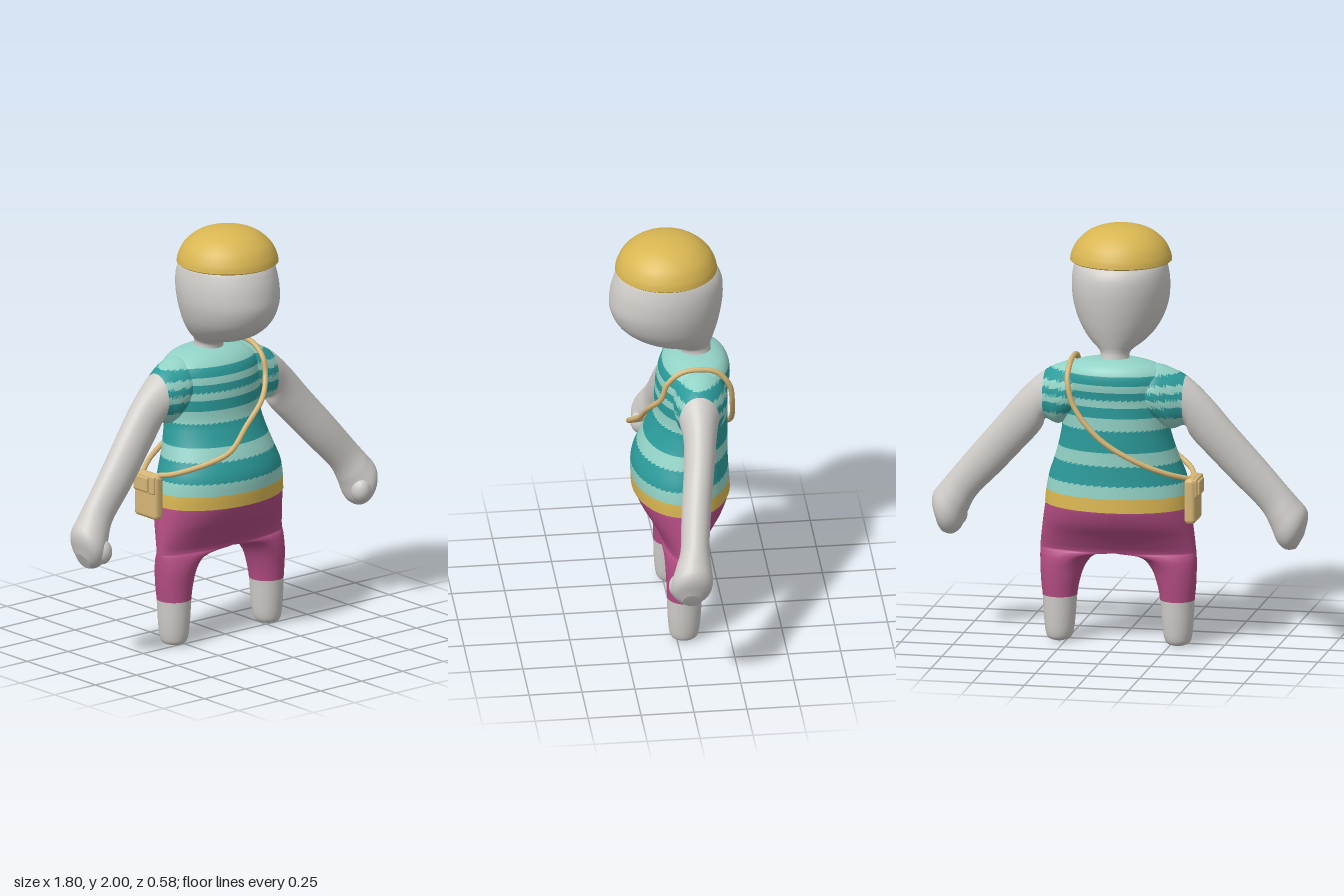
import * as THREE from 'three';
import { RoundedBoxGeometry } from 'three/addons/geometries/RoundedBoxGeometry.js';

const mat = (name, color) => {
  const m = new THREE.MeshStandardMaterial({ color });
  m.name = name;
  return m;
};

// Catmull-Rom interpolation of the key rows of a loft, column by column
function refine(rows, sub) {
  const out = [];
  for (let i = 0; i < rows.length - 1; i++) {
    const a = rows[Math.max(i - 1, 0)], b = rows[i], c = rows[i + 1], d = rows[Math.min(i + 2, rows.length - 1)];
    for (let s = 0; s < sub; s++) {
      const t = s / sub;
      out.push(b.map((v, k) => {
        const quad = 2 * a[k] - 5 * v + 4 * c[k] - d[k];
        const cubic = 3 * (v - c[k]) + d[k] - a[k];
        return v + 0.5 * t * (c[k] - a[k] + t * (quad + t * cubic));
      }));
    }
  }
  out.push(rows[rows.length - 1]);
  return out;
}

// Skin through closed rings; point(row, cos, sin) gives one corner.
// zone(centre) picks the material slot of each triangle.
function loft(keyRows, point, { sub = 8, n = 40, zone = () => 0 } = {}) {
  const rows = refine(keyRows, sub);
  const pts = [];
  for (const r of rows) {
    for (let j = 0; j < n; j++) {
      const a = (j / n) * Math.PI * 2;
      pts.push(new THREE.Vector3(...point(r, Math.cos(a), Math.sin(a))));
    }
  }
  let tris = [];
  for (let i = 0; i < rows.length - 1; i++) {
    for (let j = 0; j < n; j++) {
      const k = (j + 1) % n;
      const a = i * n + j, b = i * n + k, c = a + n, d = b + n;
      tris.push([a, c, b], [b, c, d]);
    }
  }
  // Close the last ring
  const last = (rows.length - 1) * n;
  const mid = new THREE.Vector3();
  for (let j = 0; j < n; j++) mid.addScaledVector(pts[last + j], 1 / n);
  const m = pts.push(mid) - 1;
  for (let j = 0; j < n; j++) tris.push([m, last + (j + 1) % n, last + j]);

  // Drop the hidden wall on the middle plane, then turn all faces outward
  tris = tris.filter(t => t.some(i => Math.abs(pts[i].x) > 1e-4));
  const cross = new THREE.Vector3();
  let volume = 0;
  for (const [a, b, c] of tris) volume += pts[a].dot(cross.crossVectors(pts[b], pts[c]));
  if (volume < 0) tris = tris.map(([a, b, c]) => [a, c, b]);

  // Sort triangles into one group per material
  const bins = [];
  for (const t of tris) {
    const c = new THREE.Vector3();
    t.forEach(i => c.addScaledVector(pts[i], 1 / 3));
    (bins[zone(c)] ??= []).push(...t);
  }
  const geo = new THREE.BufferGeometry().setFromPoints(pts);
  const index = [];
  bins.forEach((bin, slot) => {
    geo.addGroup(index.length, bin.length, slot);
    for (const i of bin) index.push(i);
  });
  geo.setIndex(index);
  geo.computeVertexNormals();
  return geo;
}

// Ring level with the ground: [y, halfWidth, zBack, zFront]
const levelRing = ([y, w, zb, zf], c, s) => [w * c, y, (zb + zf) / 2 + (zf - zb) / 2 * s];

const DARK_STRIPES = [[0.80, 0.895], [0.96, 1.065], [1.13, 1.18], [1.215, 1.25], [1.285, 1.33]];
const stripe = y => (DARK_STRIPES.some(([a, b]) => y > a && y < b) ? 1 : 0);

export function createModel() {
  const model = new THREE.Group();
  model.name = 'figure';
  const skin = mat('pale grey skin', 0xcfccc8);
  const lightTeal = mat('light teal', 0x92d2c6);
  const darkTeal = mat('dark teal', 0x2b9c9b);
  const gold = mat('gold', 0xd9b652);
  const plum = mat('plum', 0xb34c83);
  const tan = mat('tan leather', 0xd6b677);

  const add = (name, geo, material, x = 0, y = 0, z = 0) => {
    const mesh = new THREE.Mesh(geo, material);
    mesh.name = name;
    mesh.position.set(x, y, z);
    model.add(mesh);
    return mesh;
  };

  // Head with neck
  add('head', loft([
    [1.36, 0.075, -0.2, -0.05], [1.41, 0.068, -0.192, -0.045], [1.435, 0.085, -0.193, 0.0],
    [1.46, 0.122, -0.2, 0.1], [1.5, 0.162, -0.212, 0.185], [1.56, 0.198, -0.228, 0.25],
    [1.64, 0.223, -0.243, 0.284], [1.72, 0.23, -0.25, 0.281], [1.79, 0.223, -0.242, 0.263],
    [1.84, 0.205, -0.208, 0.235], [1.89, 0.15, -0.14, 0.17], [1.91, 0.06, -0.06, 0.08],
  ], levelRing), skin);

  // Cap: flattened dome with a closed underside
  const profile = points => points.map(p => new THREE.Vector2(...p));
  const dome = new THREE.SplineCurve(profile(
    [[0.24, 1.835], [0.232, 1.87], [0.205, 1.92], [0.15, 1.967], [0.08, 1.992], [0, 2]])).getPoints(24);
  const underside = profile([[0, 1.832], [0.234, 1.83], [0.24, 1.835]]);
  add('cap', new THREE.LatheGeometry(dome, 48), gold, 0, 0, 0.017);
  add('capUnderside', new THREE.LatheGeometry(underside, 48), gold, 0, 0, 0.017);

  // Striped shirt with a hem band
  add('shirt', loft([
    [0.675, 0.347, -0.281, 0.18], [0.74, 0.341, -0.277, 0.183], [0.82, 0.325, -0.272, 0.18],
    [0.9, 0.297, -0.27, 0.152], [1.0, 0.268, -0.27, 0.105], [1.08, 0.256, -0.27, 0.077],
    [1.2, 0.265, -0.272, 0.068], [1.28, 0.265, -0.281, 0.055], [1.33, 0.25, -0.277, 0.035],
    [1.365, 0.205, -0.257, 0.0], [1.385, 0.14, -0.225, -0.04], [1.395, 0.06, -0.19, -0.07],
  ], levelRing, { n: 56, sub: 10, zone: c => (c.y < 0.74 ? 2 : stripe(c.y)) }),
  [lightTeal, darkTeal, gold]);

  // Arm rows: [x, y, halfHeight, z, halfDepth, tilt]
  const armRows = [
    [0.12, 1.245, 0.115, -0.12, 0.1, 0], [0.2, 1.235, 0.135, -0.12, 0.125, 0],
    [0.27, 1.205, 0.143, -0.112, 0.118, 0], [0.335, 1.196, 0.118, -0.102, 0.094, 0],
    [0.4, 1.125, 0.105, -0.098, 0.078, 0.4], [0.48, 1.03, 0.095, -0.085, 0.073, 0.75],
    [0.62, 0.87, 0.09, -0.055, 0.07, 0.85], [0.74, 0.735, 0.083, -0.035, 0.068, 0.85],
    [0.79, 0.66, 0.091, -0.022, 0.084, 0.8], [0.825, 0.595, 0.104, -0.012, 0.098, 0.7],
    [0.848, 0.553, 0.088, -0.008, 0.085, 0.6], [0.862, 0.52, 0.042, -0.006, 0.042, 0.5],
  ];
  // Leg rows: [y, xInner, xOuter, zBack, zFront, roundness]; 0 is half an oval, 1 a full one
  const legRows = [
    [0.7, 0, 0.338, -0.272, 0.172, 0], [0.67, 0, 0.345, -0.277, 0.174, 0], [0.6, 0, 0.356, -0.248, 0.142, 0],
    [0.53, 0, 0.366, -0.195, 0.097, 0], [0.475, 0, 0.372, -0.157, 0.066, 0], [0.452, 0, 0.374, -0.146, 0.06, 0],
    [0.437, 0.07, 0.374, -0.14, 0.055, 0.45], [0.41, 0.125, 0.374, -0.136, 0.051, 0.8],
    [0.36, 0.163, 0.373, -0.131, 0.05, 1], [0.29, 0.187, 0.37, -0.126, 0.047, 1],
    [0.22, 0.2, 0.363, -0.12, 0.045, 1], [0.12, 0.208, 0.358, -0.114, 0.042, 1],
    [0.045, 0.217, 0.35, -0.106, 0.035, 1], [0.012, 0.231, 0.338, -0.093, 0.023, 1], [0, 0.258, 0.31, -0.065, -0.005, 1],
  ];
  for (const [side, s] of [['left', 1], ['right', -1]]) {
    const armRing = ([x, y, h, z, hz, tilt], c, sn) =>
      [s * (x + h * Math.sin(tilt) * c), y + h * Math.cos(tilt) * c, z + hz * sn];
    add(side + 'ArmAndSleeve', loft(armRows, armRing,
      { sub: 10, zone: p => (Math.abs(p.x) > 0.335 ? 2 : stripe(p.y)) }), [lightTeal, darkTeal, skin]);

    const thumb = add(side + 'Thumb', new THREE.SphereGeometry(0.05, 24, 16), skin, s * 0.79, 0.565, 0.045);
    thumb.scale.set(0.95, 1.2, 1);

    const legRing = ([y, xi, xo, zb, zf, k], c, sn) => {
      const xin = Math.max(xi, 0);
      const half = xin + (xo - xin) * Math.max(c, 0);
      const oval = (xin + xo) / 2 + (xo - xin) / 2 * c;
      const x = xin < 1e-3 ? half : half + (oval - half) * k;
      return [s * x, y, (zb + zf) / 2 + (zf - zb) / 2 * sn];
    };
    add(side + 'LegAndTrousers', loft(legRows, legRing, { zone: p => (p.y < 0.22 ? 1 : 0) }), [plum, skin]);
  }

  // Shoulder strap, round the body from the front of the bag to its back
  const path = new THREE.CatmullRomCurve3([
    [-0.37, 0.83, -0.07], [-0.33, 0.85, 0.02], [-0.2, 0.91, 0.14], [-0.12, 0.955, 0.18], [0.01, 1.045, 0.14],
    [0.13, 1.155, 0.115], [0.195, 1.24, 0.06], [0.203, 1.32, 0.035], [0.202, 1.375, -0.03], [0.2, 1.388, -0.11],
    [0.2, 1.37, -0.2], [0.2, 1.3, -0.258], [0.165, 1.18, -0.277], [0.04, 1.03, -0.285], [-0.13, 0.925, -0.267],
    [-0.27, 0.865, -0.225], [-0.37, 0.83, -0.16],
  ].map(p => new THREE.Vector3(...p)));
  add('strap', new THREE.TubeGeometry(path, 120, 0.013, 8), tan);

  // Hip bag with flap and clasp plate
  add('bag', new RoundedBoxGeometry(0.055, 0.22, 0.165, 4, 0.022), tan, -0.372, 0.728, -0.115);
  add('bagFlap', new RoundedBoxGeometry(0.02, 0.09, 0.15, 3, 0.009), tan, -0.396, 0.79, -0.115);
  add('bagClasp', new RoundedBoxGeometry(0.014, 0.07, 0.1, 3, 0.006), tan, -0.41, 0.79, -0.125);

  return model;
}
